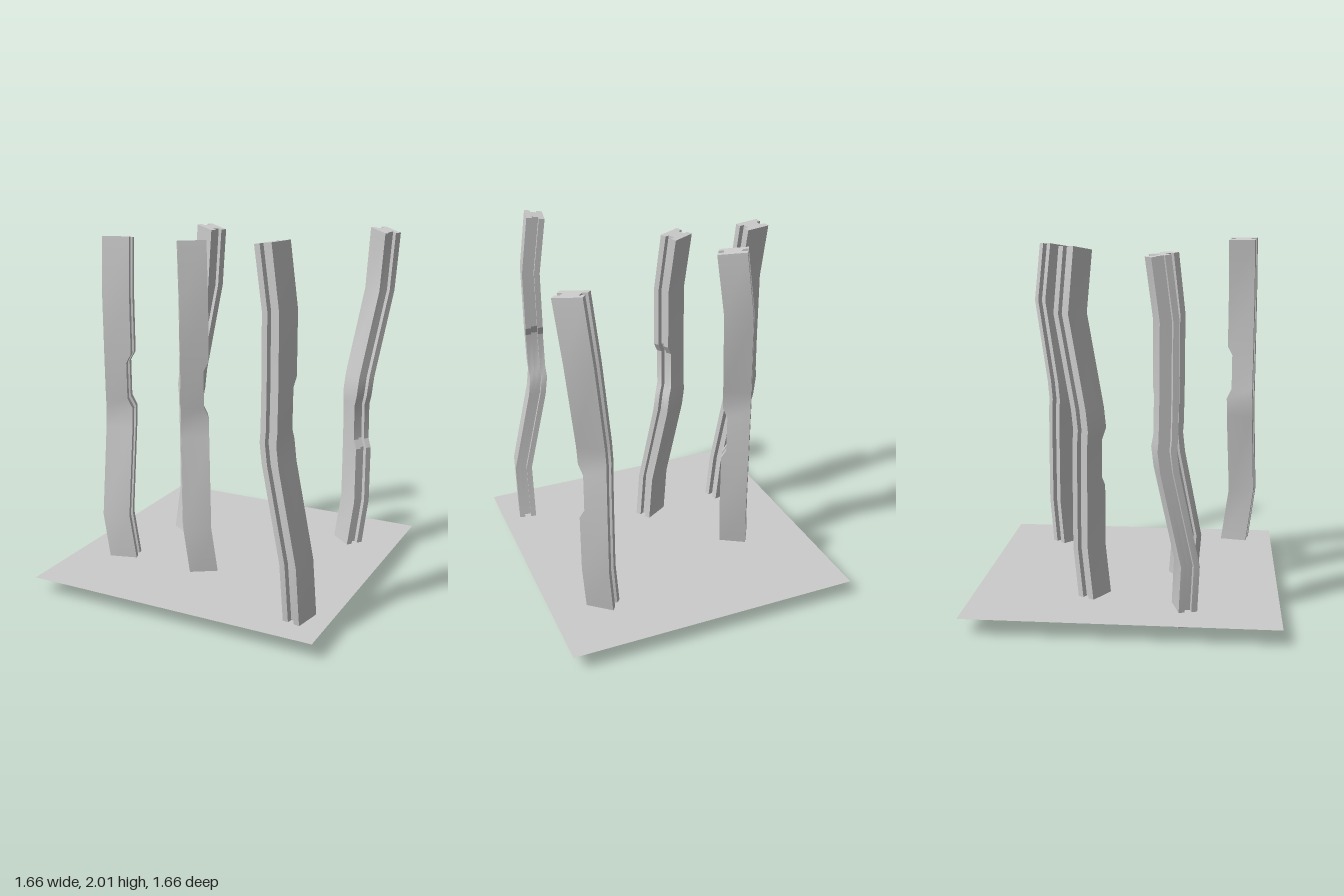
import * as THREE from 'three';
import { toCreasedNormals } from 'three/addons/utils/BufferGeometryUtils.js';

// I-shaped cross-section: two flanges joined by a thick web
const W = 0.078, D = 0.05, G = 0.018, B = 0.048;
const SECTION = [
  [-W, D], [W, D], [W, G], [B, G], [B, -G], [W, -G],
  [W, -D], [-W, -D], [-W, -G], [-B, -G], [-B, G], [-W, G],
];
const CAP = [[0, 1, 2, 11], [10, 3, 4, 9], [8, 5, 6, 7]];

// Bent centre line: height, shift in x, shift in z, dent on the +x side
const PATH = [
  [0, 0.045, 0.115, 0],
  [0.34, 0, 0.118, 0],
  [0.84, 0, 0.006, 0],
  [0.95, 0, -0.008, 0],
  [1.01, 0, -0.003, 0.028],
  [1.22, 0, 0, 0.028],
  [1.27, 0, 0, 0],
  [1.6, 0, 0, 0],
  [1.92, -0.004, -0.045, 0],
];

function beamGeometry() {
  const pos = [], index = [];
  const n = SECTION.length, last = PATH.length - 1;
  PATH.forEach(([y, dx, dz, dent], r) => {
    // The two ends are cut square to the bent centre line
    const tiltX = r === 0 ? 0.13 : 0;
    const tiltZ = r === last ? 0.14 : 0;
    for (const [x, z] of SECTION) {
      pos.push(x + dx - (x > 0 ? dent : 0), y + tiltX * x + tiltZ * z, z + dz);
    }
  });
  for (let r = 0; r < last; r++) {
    for (let i = 0; i < n; i++) {
      const a = r * n + i, b = r * n + (i + 1) % n;
      index.push(a, b, b + n, a, b + n, a + n);
    }
  }
  const top = last * n;
  for (const [a, b, c, d] of CAP) {
    index.push(top + a, top + b, top + c, top + a, top + c, top + d);
    index.push(a, c, b, a, d, c);
  }
  const geometry = new THREE.BufferGeometry();
  geometry.setAttribute('position', new THREE.Float32BufferAttribute(pos, 3));
  geometry.setIndex(index);
  return toCreasedNormals(geometry, 0.5);
}

export function createModel() {
  const model = new THREE.Group();
  const material = new THREE.MeshStandardMaterial({ color: 0xcccccc });

  // Thin square ground sheet, pierced by the beam feet
  const sheet = new THREE.Mesh(
    new THREE.PlaneGeometry(1.665, 1.665).rotateX(-Math.PI / 2),
    new THREE.MeshStandardMaterial({ color: 0xcccccc, side: THREE.DoubleSide }),
  );
  sheet.name = 'groundSheet';
  sheet.position.y = 0.09;
  model.add(sheet);

  // Bent beams: x, z, y of the origin end, turn in degrees, upside down
  const beam = beamGeometry();
  const places = [
    [-0.625, 0.225, 0.01, 16, false],
    [-0.146, 0.22, 0.01, 32, false],
    [0.55, 0.625, 0.08, 79, false],
    [-0.39, -0.2, 1.96, -31, true],
    [0.565, -0.49, 1.96, -40, true],
  ];
  places.forEach(([x, z, y, turn, flipped], i) => {
    const mesh = new THREE.Mesh(beam, material);
    mesh.name = `bentBeam${i + 1}`;
    mesh.position.set(x, y, z);
    mesh.rotation.order = 'YXZ';
    mesh.rotation.set(flipped ? Math.PI : 0, THREE.MathUtils.degToRad(turn), 0);
    model.add(mesh);
  });
  return model;
}
